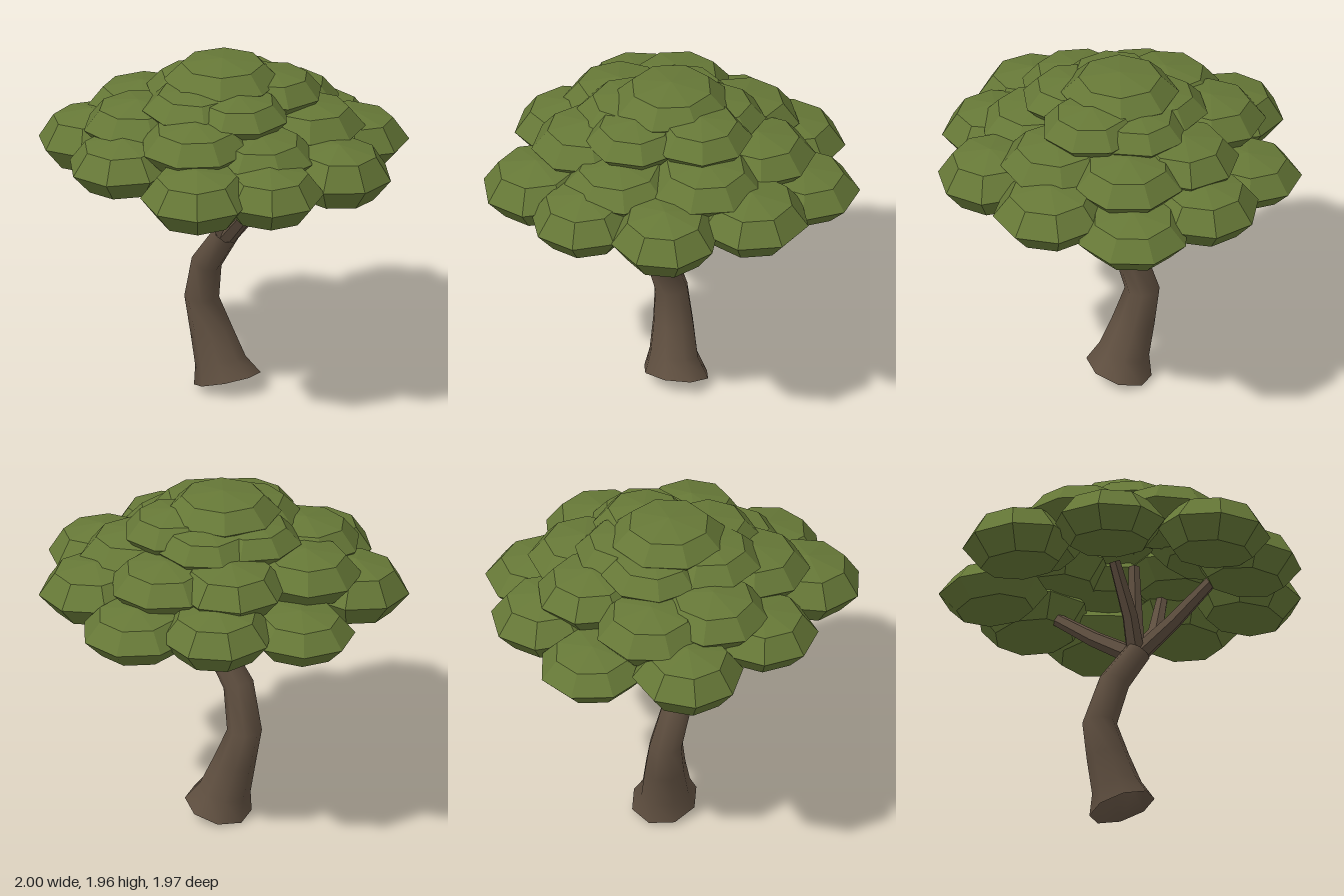
import * as THREE from 'three';

const bark = new THREE.MeshStandardMaterial({ color: 0x5e4e3f, side: THREE.DoubleSide });
bark.name = 'bark';
const leaf = new THREE.MeshStandardMaterial({ color: 0x667837 });
leaf.name = 'leaf green';

const UP = new THREE.Vector3(0, 1, 0);

// Skin an open run of circular rings { c: centre, r: radius, n: normal }
function loft(rings, sides, flat) {
  const pos = [], idx = [];
  for (const { c, r, n } of rings) {
    const q = new THREE.Quaternion().setFromUnitVectors(UP, n.clone().normalize());
    for (let i = 0; i < sides; i++) {
      const a = (i / sides) * Math.PI * 2;
      const p = new THREE.Vector3(Math.sin(a) * r, 0, Math.cos(a) * r).applyQuaternion(q).add(c);
      pos.push(p.x, p.y, p.z);
    }
  }
  for (let k = 0; k + 1 < rings.length; k++) {
    for (let i = 0; i < sides; i++) {
      const j = (i + 1) % sides, a = k * sides, b = a + sides;
      idx.push(a + i, a + j, b + i, a + j, b + j, b + i);
    }
  }
  let g = new THREE.BufferGeometry();
  g.setAttribute('position', new THREE.Float32BufferAttribute(pos, 3));
  g.setIndex(idx);
  if (flat) g = g.toNonIndexed();
  g.computeVertexNormals();
  return g;
}

// Squashed eight-sided leaf clump with a sharp rim and shallow top and bottom
function clumpGeometry() {
  const profile = [[0, -1], [0.7, -0.76], [1, 0], [0.7, 0.76], [0, 1]]
    .map(([x, y]) => new THREE.Vector2(x, y));
  const g = new THREE.LatheGeometry(profile, 8).toNonIndexed();
  g.computeVertexNormals();
  return g;
}

export function createModel() {
  const tree = new THREE.Group();
  tree.name = 'tree';
  const add = (geometry, material, name, parent = tree) => {
    const m = new THREE.Mesh(geometry, material);
    m.name = name;
    parent.add(m);
    return m;
  };

  // Hollow trunk: x, y, z, radius, sideways lean of the ring
  const trunkRings = [
    [0.005, 0.055, 0.02, 0.188, 0.3],
    [-0.025, 0.16, 0.045, 0.142, 0.29],
    [-0.075, 0.335, 0.067, 0.118, 0.18],
    [-0.122, 0.525, 0.097, 0.096, 0],
    [-0.042, 0.765, 0.13, 0.085, -0.4],
    [0.09, 0.965, 0.1, 0.073, -0.53],
  ].map(([x, y, z, r, t]) => ({
    c: new THREE.Vector3(x, y, z), r, n: new THREE.Vector3(-Math.sin(t), Math.cos(t), 0),
  }));
  add(loft(trunkRings, 8, false), bark, 'trunk');

  // Branches fan out from the trunk top: tip x, y, z and sideways bend
  const branches = new THREE.Group();
  branches.name = 'branches';
  tree.add(branches);
  const root = new THREE.Vector3(0.08, 0.94, 0.09);
  [[-0.4, 1.4, -0.36, 0], [0.52, 1.4, 0.18, 0], [0.24, 1.46, -0.3, 0.04],
    [-0.05, 1.42, 0.29, 0.02], [0.07, 1.5, 0.04, 0]]
    .forEach(([x, y, z, bend], i) => {
      const tip = new THREE.Vector3(x, y, z);
      const mid = root.clone().lerp(tip, 0.45);
      mid.x += bend;
      mid.y -= 0.015;
      const rings = [
        { c: root, r: 0.055, n: mid.clone().sub(root) },
        { c: mid, r: 0.046, n: tip.clone().sub(root) },
        { c: tip, r: 0.034, n: tip.clone().sub(mid) },
      ];
      add(loft(rings, 6, true), bark, 'branch' + (i + 1), branches);
    });

  // Leaf clumps in tiers: x, y, z, radius, half height, turn
  const tiers = {
    lowerLeaves: [
      [-0.08, 1.39, -0.69, 0.32, 0.14, 0.39], [0.37, 1.45, -0.56, 0.325, 0.16, 0.14],
      [0.7, 1.435, -0.18, 0.305, 0.17, 0.6], [0.68, 1.43, 0.3, 0.305, 0.16, 0.13],
      [0.48, 1.44, 0.65, 0.315, 0.165, 0.07], [-0.1, 1.47, 0.68, 0.315, 0.155, 0.54],
      [-0.59, 1.43, 0.48, 0.31, 0.17, 0.63], [-0.7, 1.37, -0.05, 0.305, 0.135, 0.07],
      [-0.46, 1.42, -0.46, 0.32, 0.16, 0.26],
    ],
    middleLeaves: [
      [-0.49, 1.58, 0.2, 0.315, 0.145, 0.05], [-0.35, 1.59, -0.24, 0.315, 0.15, 0.17],
      [-0.05, 1.58, -0.44, 0.32, 0.14, 0.42], [0.34, 1.59, -0.28, 0.315, 0.14, 0.1],
      [0.46, 1.56, 0.18, 0.315, 0.125, 0.45], [0.24, 1.62, 0.45, 0.315, 0.14, 0.5],
      [-0.24, 1.61, 0.45, 0.315, 0.14, 0.32],
    ],
    upperLeaves: [
      [-0.2, 1.73, 0.06, 0.29, 0.12, 0.6], [0.26, 1.73, 0.16, 0.285, 0.12, 0.5],
      [0.15, 1.75, -0.18, 0.285, 0.13, 0.4], [0.04, 1.74, 0.27, 0.305, 0.12, 0.2],
      [-0.1, 1.73, -0.17, 0.28, 0.12, 0.3],
    ],
    crownLeaves: [[0, 1.835, 0.05, 0.325, 0.128, 0.03]],
  };
  const clump = clumpGeometry();
  let count = 0;
  for (const [name, list] of Object.entries(tiers)) {
    const tier = new THREE.Group();
    tier.name = name;
    tree.add(tier);
    for (const [x, y, z, r, h, turn] of list) {
      const holder = new THREE.Group();
      holder.name = 'leafClump' + ++count;
      holder.position.set(x, y, z);
      // Lean a little away from the centre
      holder.rotation.set(z * 0.1, 0, -x * 0.1);
      const m = add(clump, leaf, 'leaves', holder);
      m.scale.set(r, h, r);
      m.rotation.y = turn;
      tier.add(holder);
    }
  }
  return tree;
}
